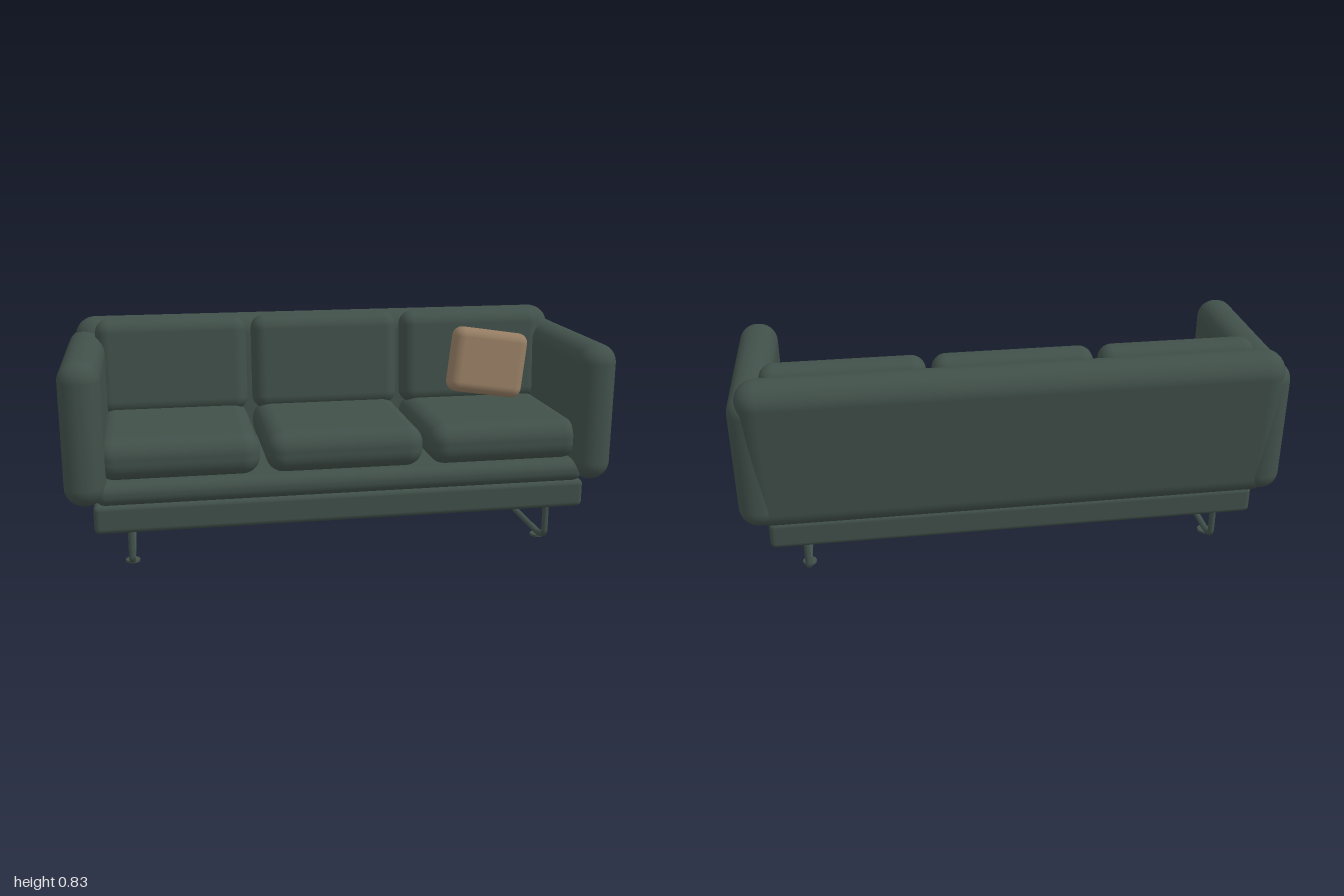
import * as THREE from 'three';
import { RoundedBoxGeometry } from 'three/addons/geometries/RoundedBoxGeometry.js';

export function createModel() {
  const sofa = new THREE.Group();
  sofa.name = 'sofa';

  const green = new THREE.MeshStandardMaterial({ color: 0x41504a });
  green.name = 'darkGreenFabric';
  const tan = new THREE.MeshStandardMaterial({ color: 0x957d63 });
  tan.name = 'tanFabric';

  // Rounded block given by its size, corner radius and centre
  function block(name, size, radius, centre, material = green) {
    const mesh = new THREE.Mesh(new RoundedBoxGeometry(...size, 6, radius), material);
    mesh.name = name;
    mesh.position.set(...centre);
    sofa.add(mesh);
    return mesh;
  }

  const lean = -0.075;

  // Base frame and the padded platform above it
  block('baseFrame', [1.81, 0.107, 0.655], 0.02, [0, 0.2085, 0.0125]);
  block('seatPlatform', [1.8, 0.085, 0.66], 0.04, [0, 0.3025, 0.03]);

  // Backrest, leaning slightly backwards
  block('backrest', [1.94, 0.58, 0.16], 0.078, [0, 0.54, -0.295]).rotation.x = lean;

  // Three seat cushions and three back cushions
  for (const x of [-0.6, 0, 0.6]) {
    block('seatCushion', [0.58, 0.152, 0.58], 0.066, [x, 0.415, 0.05]);
    block('backCushion', [0.58, 0.37, 0.117], 0.052, [x, 0.65, -0.19]).rotation.x = lean;
  }

  // Loose throw pillow
  const pillow = block('throwPillow', [0.305, 0.26, 0.1], 0.04, [0.645, 0.638, -0.083], tan);
  pillow.rotation.set(-0.13, 0, -0.15);

  // Arms and sled legs, mirrored
  for (const side of [-1, 1]) {
    block('arm', [0.145, 0.515, 0.761], 0.07, [side * 0.9275, 0.5225, 0.0125]);

    const points = [
      [0.17, 0.287], [0.045, 0.287], [0.028, 0.272], [0.017, 0.22],
      [0.017, -0.195], [0.028, -0.247], [0.045, -0.262], [0.17, -0.262],
    ].map(([y, z]) => new THREE.Vector3(0, y, z));
    const path = new THREE.CurvePath();
    for (let i = 1; i < points.length; i++) {
      path.add(new THREE.LineCurve3(points[i - 1], points[i]));
    }
    const leg = new THREE.Mesh(new THREE.TubeGeometry(path, 96, 0.012, 10, false), green);
    leg.name = 'sledLeg';
    leg.position.x = side * 0.78;
    sofa.add(leg);

    // Floor pads under the runner
    for (const z of [0.208, -0.183]) {
      const pad = new THREE.Mesh(new THREE.CylinderGeometry(0.026, 0.026, 0.008, 20), green);
      pad.name = 'floorPad';
      pad.position.set(side * 0.78, 0.004, z);
      sofa.add(pad);
    }
  }

  return sofa;
}
